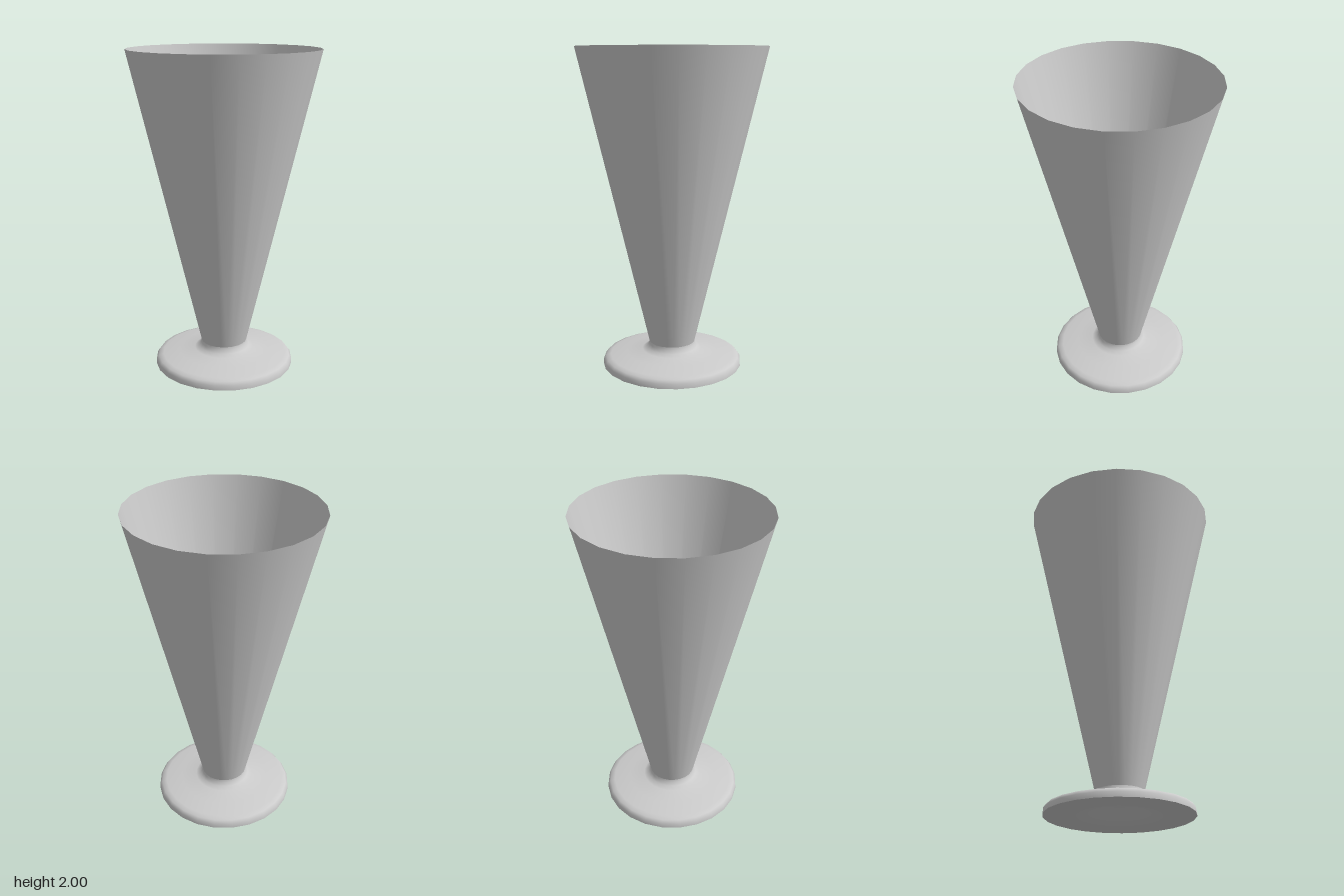
import * as THREE from 'three';

const SIDES = 24;

// Revolves a [radius, height] profile, listed so that the outside faces out
function lathe(name, profile, material) {
  const points = profile.map(([r, y]) => new THREE.Vector2(r, y));
  const mesh = new THREE.Mesh(new THREE.LatheGeometry(points, SIDES), material);
  mesh.name = name;
  return mesh;
}

export function createModel() {
  const group = new THREE.Group();
  group.name = 'footedGlass';
  const solid = new THREE.MeshStandardMaterial({ color: 0xcccccc });
  const thin = new THREE.MeshStandardMaterial({ color: 0xcccccc, side: THREE.DoubleSide });

  // Open, thin conical cup
  group.add(lathe('cup', [[0.145, 0.145], [0.585, 2]], thin));

  // Foot with a rounded rim, flaring up into the neck
  group.add(lathe('foot', [
    [0.442, 0], [0.44, 0.03], [0.425, 0.05], [0.395, 0.06], [0.29, 0.077],
    [0.19, 0.092], [0.162, 0.107], [0.148, 0.128], [0.145, 0.145],
  ], solid));

  // Slightly domed floor inside the cup
  group.add(lathe('cupFloor', [
    [0.145, 0.145], [0.11, 0.16], [0.06, 0.172], [0, 0.176],
  ], thin));

  // Underside of the foot with a central hollow
  group.add(lathe('footUnderside', [
    [0, 0.08], [0.05, 0.074], [0.1, 0.055], [0.15, 0.028],
    [0.2, 0.009], [0.26, 0], [0.442, 0],
  ], thin));

  return group;
}
